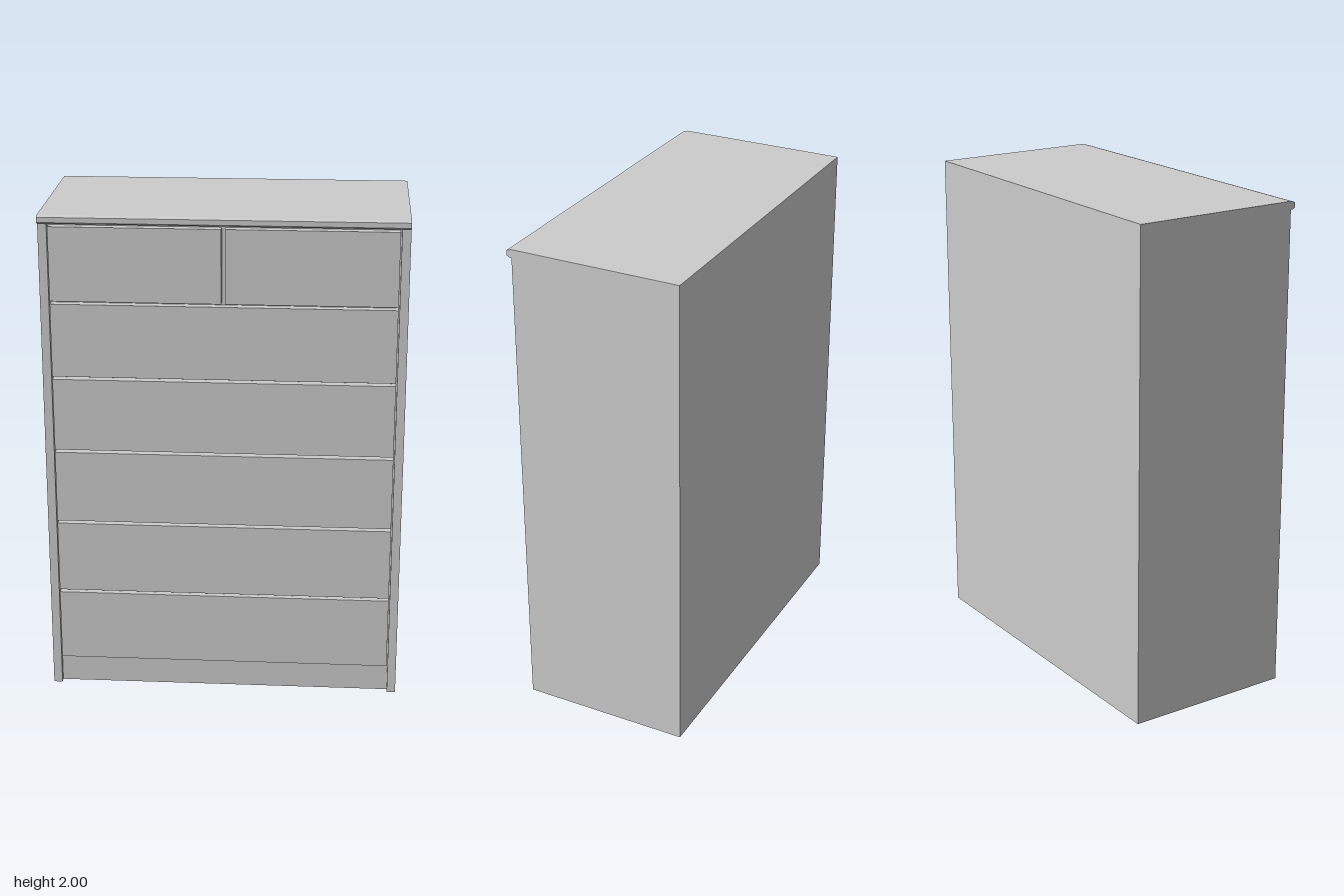
import * as THREE from 'three';

const material = new THREE.MeshStandardMaterial({ color: 0xcccccc, flatShading: true });

export function createModel() {
  const model = new THREE.Group();
  model.name = 'chestOfDrawers';

  // Box given by its lower and upper limits on each axis
  const box = (name, x0, x1, y0, y1, z0, z1) => {
    const mesh = new THREE.Mesh(new THREE.BoxGeometry(x1 - x0, y1 - y0, z1 - z0), material);
    mesh.position.set((x0 + x1) / 2, (y0 + y1) / 2, (z0 + z1) / 2);
    mesh.name = name;
    model.add(mesh);
  };

  const halfWidth = 0.7125, inner = 0.678, back = -0.356, front = 0.336, topUnder = 1.967;

  // Carcass: side panels and the recessed core between them
  box('leftSide', inner, halfWidth, 0, topUnder, back, front);
  box('rightSide', -halfWidth, -inner, 0, topUnder, back, front);
  box('core', -inner, inner, 0, topUnder, back, 0.312);

  // Top board with a bevelled front lip, extruded across the width
  const profile = new THREE.Shape([
    [back, topUnder], [0.346, topUnder], [0.356, 1.974],
    [0.356, 1.994], [0.336, 2], [back, 2],
  ].map(([z, y]) => new THREE.Vector2(-z, y)));
  const topGeometry = new THREE.ExtrudeGeometry(profile, { depth: halfWidth * 2, bevelEnabled: false });
  topGeometry.rotateY(Math.PI / 2).translate(-halfWidth, 0, 0);
  const top = new THREE.Mesh(topGeometry, material);
  top.name = 'topBoard';
  model.add(top);

  // Drawer fronts: five full-width rows under a split top row
  const bottom = 0.12, pitch = 0.307, gap = 0.012, edge = 0.673;
  for (let row = 0; row < 6; row++) {
    const y0 = bottom + row * pitch + gap / 2;
    const y1 = y0 + pitch - gap;
    const spans = row < 5 ? [[-edge, edge]] : [[-edge, -0.007], [0.007, edge]];
    for (const [x0, x1] of spans) box('drawerFront', x0, x1, y0, y1, 0.31, 0.347);
  }
  return model;
}
